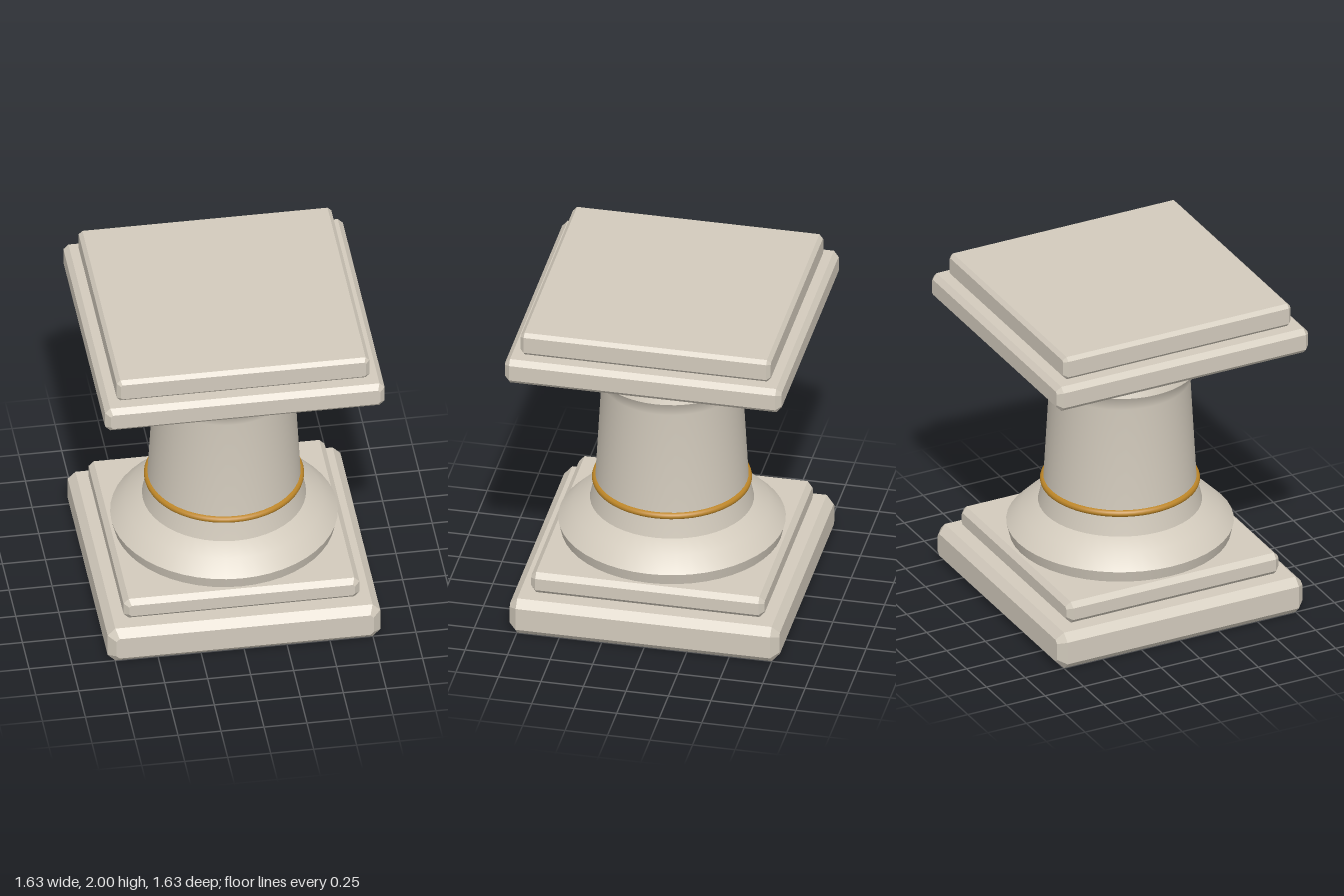
import * as THREE from 'three';

export function createModel() {
  const stone = new THREE.MeshStandardMaterial({ color: 0xd2cabc });
  stone.name = 'stone';
  const gold = new THREE.MeshStandardMaterial({ color: 0xbd8628 });
  gold.name = 'gold';

  const model = new THREE.Group();
  model.name = 'pedestal';

  function add(name, geometry, material, parent = model) {
    const mesh = new THREE.Mesh(geometry, material);
    mesh.name = name;
    parent.add(mesh);
    return mesh;
  }

  // Square slab: chamfered outline extruded along z with bevelled front and back
  function slab(name, half, y0, y1, b) {
    const s = new THREE.Shape([
      [-half + b, y0], [half - b, y0], [half, y0 + b], [half, y1 - b],
      [half - b, y1], [-half + b, y1], [-half, y1 - b], [-half, y0 + b],
    ].map(([x, y]) => new THREE.Vector2(x, y)));
    const depth = 2 * (half - b);
    const geometry = new THREE.ExtrudeGeometry(s, {
      depth, bevelEnabled: true, bevelSegments: 1,
      bevelSize: b, bevelThickness: b, bevelOffset: -b,
    });
    geometry.translate(0, 0, -depth / 2);
    add(name, geometry, stone);
  }

  slab('plinth', 0.793, 0, 0.23, 0.045);
  slab('plinthStep', 0.686, 0.23, 0.365, 0.03);
  slab('abacus', 0.813, 1.7, 1.856, 0.03);
  slab('topSlab', 0.735, 1.856, 2, 0.022);

  // Round column: one smooth lathe per band, so the edges between bands stay sharp
  const column = new THREE.Group();
  column.name = 'column';
  model.add(column);
  const bands = {
    footUnderside: [[0.637, 0.36], [0.655, 0.435]],
    foot: [[0.655, 0.435], [0.57, 0.52], [0.472, 0.57]],
    shaft: [[0.472, 0.57], [0.445, 0.69], [0.44, 0.73], [0.405, 1.36], [0.452, 1.455]],
    neck: [[0.452, 1.455], [0.43, 1.51]],
    capital: [[0.43, 1.51], [0.63, 1.655], [0.68, 1.702]],
  };
  for (const [name, points] of Object.entries(bands)) {
    const profile = points.map(([r, y]) => new THREE.Vector2(r, y));
    add(name, new THREE.LatheGeometry(profile, 48), stone, column);
  }

  // Gilded ring around the lower shaft
  const ring = add('goldRing', new THREE.TorusGeometry(0.44, 0.021, 10, 64), gold);
  ring.rotation.x = Math.PI / 2;
  ring.position.y = 0.705;

  return model;
}
